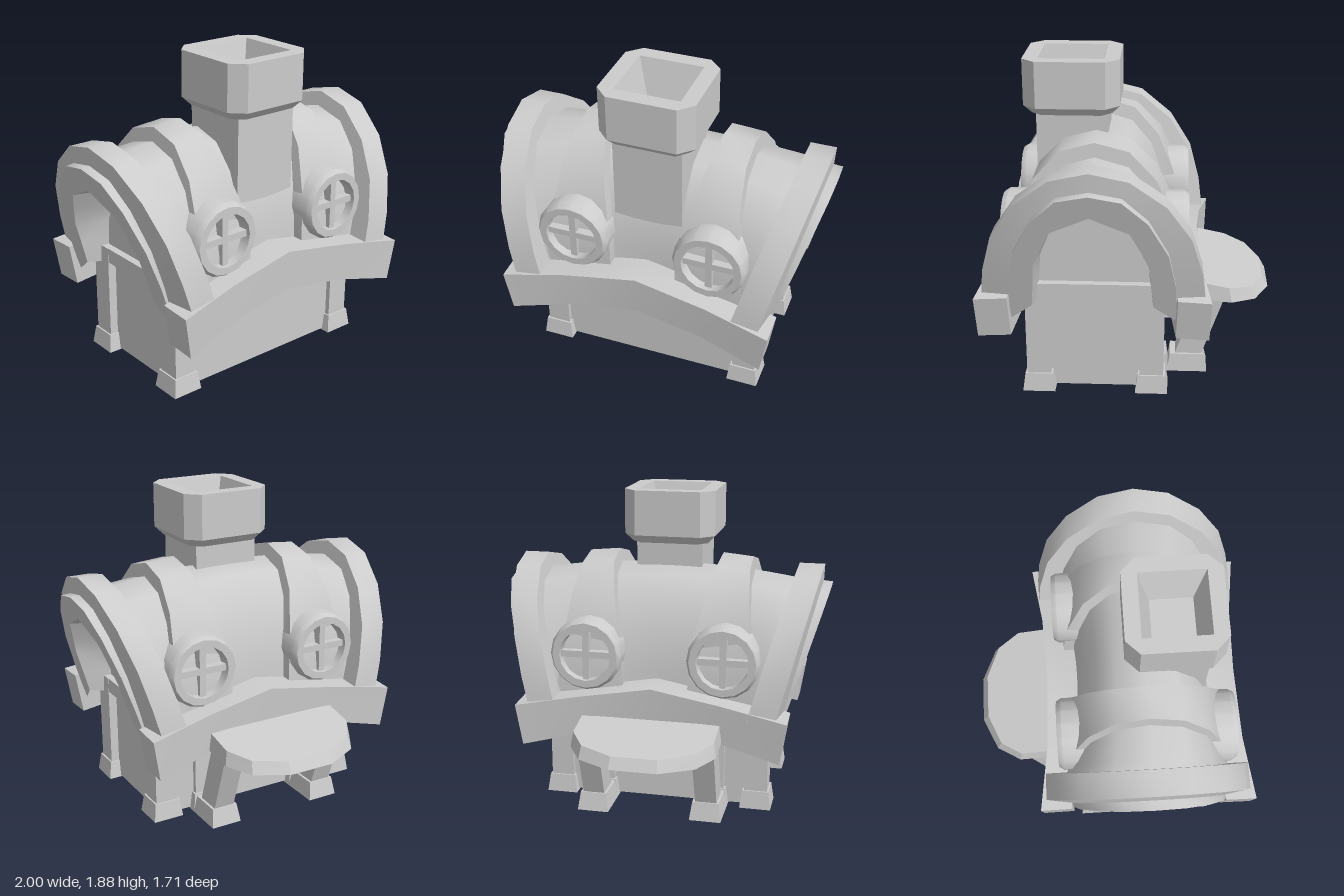
import * as THREE from 'three';
import { toCreasedNormals } from 'three/addons/utils/BufferGeometryUtils.js';

const ZC = 0.18; // ridge line of the vaulted roof

// Skin a list of equal-length cross-sections; ring closes each one, caps fill the ends.
function loft(sections, { ring = true, startCap = false, endCap = false, crease = 0.6 } = {}) {
  const n = sections[0].length, index = [];
  for (let i = 0; i < sections.length - 1; i++) {
    for (let j = 0; j < (ring ? n : n - 1); j++) {
      const a = i * n + j, b = i * n + (j + 1) % n;
      index.push(a, b, b + n, a, b + n, a + n);
    }
  }
  const last = (sections.length - 1) * n;
  for (let j = 1; j < n - 1; j++) {
    if (startCap) index.push(0, j + 1, j);
    if (endCap) index.push(last, last + j, last + j + 1);
  }
  const g = new THREE.BufferGeometry();
  g.setAttribute('position', new THREE.Float32BufferAttribute(sections.flat(2), 3));
  g.setIndex(index);
  return toCreasedNormals(g, crease);
}

// Horizontal rectangle or chamfered rectangle at height y
function rect(cx, cz, hx, hz, y, c = 0) {
  const p = c
    ? [[hx, hz - c], [hx - c, hz], [c - hx, hz], [-hx, hz - c], [-hx, c - hz], [c - hx, -hz], [hx - c, -hz], [hx, c - hz]]
    : [[hx, hz], [-hx, hz], [-hx, -hz], [hx, -hz]];
  return p.map(([x, z]) => [cx + x, y, cz + z]);
}

// Half profile [offset, y] from ridge to eave, mirrored into a full arch
const arch = half => [...half.slice(1).reverse().map(([o, y]) => [-o, y]), ...half];

export function createModel() {
  const model = new THREE.Group();
  const mat = new THREE.MeshStandardMaterial({ color: 0xcccccc, side: THREE.DoubleSide });
  const add = (name, geometry, parent = model) => {
    const m = new THREE.Mesh(geometry, mat);
    m.name = name;
    parent.add(m);
    return m;
  };
  const box = (name, w, h, d, x, y, z, parent) =>
    add(name, new THREE.BoxGeometry(w, h, d), parent).position.set(x, y, z);

  // Walls, open underneath
  add('walls', loft([rect(0, ZC, 0.63, 0.37, 0.01), rect(0, ZC, 0.63, 0.37, 0.69)], { endCap: true }));

  // Vaulted roof, slightly waisted in the middle and leaning out at the ends
  const roofArch = arch([[0, 1.43], [0.17, 1.38], [0.29, 1.24], [0.365, 1.04], [0.4, 0.85], [0.41, 0.62]]);
  const roof = [];
  for (let i = 0; i <= 16; i++) {
    const s = i / 8 - 1;
    roof.push(roofArch.map(([o, y]) =>
      [s * (0.62 + 0.25 * (y - 0.65)), y - 0.07 * s * s, ZC + o * (1 + 0.27 * s * s)]));
  }
  add('roof', loft(roof, { ring: false, crease: 0.9 }));

  // Leaning end hoops: raised band, stepped lip, flat end face, then the passage into the gable wall
  const outer = arch([[0, 1.455], [0.215, 1.405], [0.415, 1.25], [0.55, 1.045], [0.613, 0.82], [0.635, 0.64]]);
  const lip = arch([[0, 1.345], [0.175, 1.31], [0.315, 1.175], [0.425, 0.965], [0.465, 0.755], [0.475, 0.5]]);
  const door = arch([[0, 1.21], [0.215, 1.11], [0.27, 1.0], [0.32, 0.88], [0.33, 0.74], [0.345, 0.6]]);
  const innerX = y => 0.59 + 0.27 * (y - 0.69);
  const endX = y => 0.79 + 0.305 * (y - 0.65);
  const hoop = outer.map(([o, y], i) => {
    const [ol, yl] = lip[i], [od, yd] = door[i];
    const yr = y - 0.12 * (y - 0.6) / 0.85;
    return [
      [innerX(yr), yr, ZC + o * 0.8],
      [innerX(y), y, ZC + o],
      [0.745 + 0.255 * (y - 0.65), y, ZC + o],
      [0.775 + 0.245 * (yl - 0.65), yl + 0.005, ZC + ol],
      [endX(yl), yl, ZC + ol],
      [endX(yd), yd, ZC + od],
      [0.63, yd - 0.03, ZC + od * 0.96],
    ];
  });
  const gable = new THREE.Shape(door.map(([o, y]) => new THREE.Vector2(-o, y)));

  // Flared ribs over the roof
  const ribArch = arch([[0, 1.5], [0.19, 1.45], [0.34, 1.29], [0.44, 1.06], [0.475, 0.85], [0.48, 0.7]]);
  const ribIn = y => Math.max(0.2, 0.33 - 0.24 * (1.5 - y));
  const ribOut = y => 0.515 + 0.12 * (1.5 - y);
  const rib = ribArch.map(([o, y]) => {
    const yb = y - 0.15 * (y - 0.7);
    return [
      [ribIn(yb), yb, ZC + o * 0.84], [ribIn(y), y, ZC + o],
      [ribOut(y), y - 0.018, ZC + o * 1.03], [ribOut(yb), yb, ZC + o * 0.84],
    ];
  });

  // Upright post on a hollow tapered foot
  const post = (name, x, z, parent) => {
    box(name, 0.14, 0.65, 0.14, x, 0.365, z, parent);
    add('postFoot', loft([rect(x, z, 0.095, 0.095, 0), rect(x, z, 0.08, 0.08, 0.11)], { endCap: true }), parent);
  };

  for (const side of [1, -1]) {
    const end = new THREE.Group();
    end.name = side > 0 ? 'leftEnd' : 'rightEnd';
    end.scale.x = side;
    model.add(end);
    add('endHoop', loft(hoop, { ring: false }), end);
    const wall = add('gableWall', new THREE.ShapeGeometry(gable), end);
    wall.rotation.y = Math.PI / 2;
    wall.position.set(0.635, 0, ZC);
    add('roofRib', loft(rib, { ring: false }), end);
    box('tieBeam', 0.05, 0.09, 0.72, 0.655, 0.645, ZC, end);

    post('cornerPost', 0.612, ZC + 0.33, end);
    post('cornerPost', 0.612, ZC - 0.33, end);
    post('backDoorPost', 0.345, ZC - 0.33, end);

    // Slanted awning leg and foot
    add('awningLeg', loft([rect(0.345, -0.34, 0.065, 0.08, 0.03), rect(0.345, -0.505, 0.065, 0.08, 0.51)],
      { startCap: true, endCap: true }), end);
    add('awningFoot', loft([rect(0.345, -0.36, 0.095, 0.12, 0), rect(0.345, -0.355, 0.08, 0.1, 0.11)], { endCap: true }), end);
  }

  // Bowed eave beams, front and back
  const eave = [-1, -0.53, 0, 0.53, 1].map(s => {
    const t = Math.abs(s);
    const top = 0.78 - 0.13 * t, bottom = 0.54 - 0.08 * t - 0.06 * t * t, z = 0.59 + 0.08 * s * s;
    return [
      [s * 0.775, bottom, z - 0.01], [s * 0.815, top, z],
      [s * 0.815, top + 0.01, z - 0.19], [s * 0.775, bottom + 0.01, z - 0.2],
    ];
  });

  // Round windows: bevelled frame, pane and crossed bars
  const frameProfile = [[0.15, 0.42], [0.157, 0.535], [0.2, 0.535], [0.218, 0.505], [0.218, 0.3]]
    .map(([r, z]) => new THREE.Vector2(r, z));
  const frame = toCreasedNormals(new THREE.LatheGeometry(frameProfile, 16).rotateX(Math.PI / 2), 0.6);

  for (const f of [1, -1]) {
    const face = new THREE.Group();
    face.name = f > 0 ? 'frontSide' : 'backSide';
    face.position.z = ZC;
    face.rotation.y = f > 0 ? 0 : Math.PI;
    model.add(face);
    add('eaveBeam', loft(eave, { startCap: true, endCap: true, crease: 0.4 }), face);
    for (const sx of [1, -1]) {
      const win = new THREE.Group();
      win.name = 'roundWindow';
      win.position.set(sx * 0.415, 0.943, 0);
      face.add(win);
      add('windowFrame', frame, win);
      add('windowPane', new THREE.CircleGeometry(0.16, 16), win).position.z = 0.45;
      box('windowBarUpright', 0.04, 0.31, 0.06, 0, 0, 0.48, win);
      box('windowBarLevel', 0.31, 0.04, 0.06, 0, 0, 0.48, win);
    }
  }

  // Chimney shaft and chamfered cap with a tapered flue
  const cz = 0.336;
  box('chimneyShaft', 0.41, 0.7, 0.415, 0, 1.22, cz);
  add('chimneyCap', loft([
    rect(0, cz, 0.235, 0.235, 1.555, 0.06), rect(0, cz, 0.282, 0.282, 1.605, 0.08),
    rect(0, cz, 0.282, 0.282, 1.88, 0.08), rect(0, cz, 0.192, 0.192, 1.88, 0.001),
    rect(0, cz, 0.125, 0.125, 1.66, 0.001),
  ], { startCap: true, endCap: true, crease: 0.3 }));

  // Sloping awning over the back, with a bevelled rim
  const outline = [[0.43, -0.42], [0.43, -0.62], [0.34, -0.765], [0.14, -0.855]];
  const rim = [...outline, ...outline.map(([x, z]) => [-x, z]).reverse()];
  add('awning', loft([
    rim.map(([x, z]) => [x, 0.48 + 0.1 * (z + 0.49), z]),
    rim.map(([x, z]) => [x * 0.97, 0.58 + 0.19 * (z + 0.49), -0.42 + (z + 0.42) * 0.915]),
  ], { startCap: true, endCap: true, crease: 0.3 }));

  return model;
}
